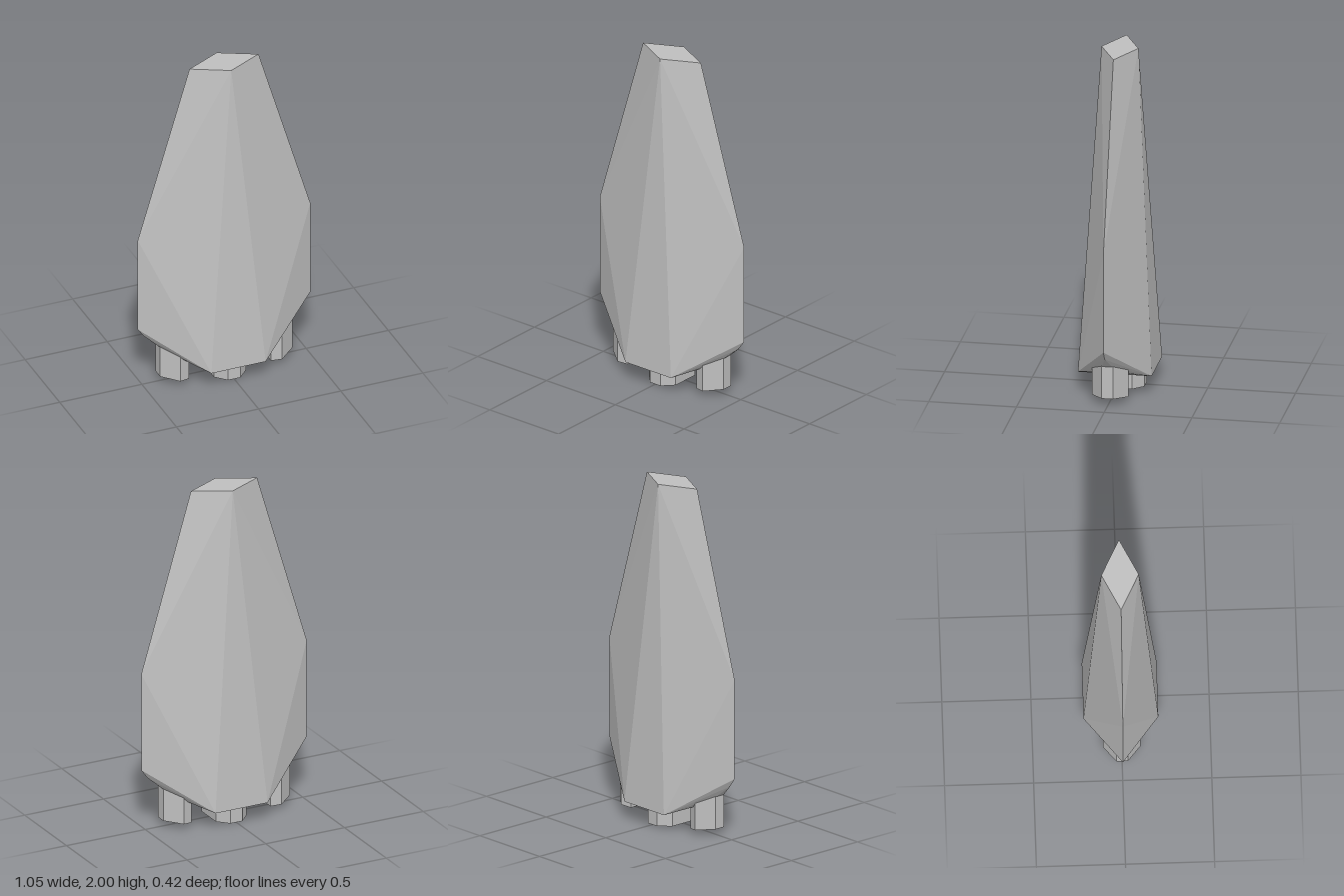
import * as THREE from 'three';
import { ConvexGeometry } from 'three/addons/geometries/ConvexGeometry.js';

const hullGrey = new THREE.MeshStandardMaterial({ color: 0xbfbfbf, flatShading: true });
hullGrey.name = 'hull grey';

// Mirror [x, y, z] corners across x and z, dropping duplicates
function mirrored(points, flipX = true) {
  const unique = new Map();
  for (const [x, y, z] of points)
    for (const sx of flipX ? [1, -1] : [1])
      for (const sz of [1, -1]) {
        const v = new THREE.Vector3(x * sx || 0, y, z * sz || 0);
        unique.set(v.toArray().join(), v);
      }
  return [...unique.values()];
}

function solid(name, points) {
  const mesh = new THREE.Mesh(new ConvexGeometry(points), hullGrey);
  mesh.name = name;
  return mesh;
}

// Faceted prism from an outline of [x, z] corners, with a sloping base
function nozzlePoints(outline, base, top) {
  return outline.flatMap(([x, z]) => [[x, base(x), z], [x, top(x), z]]);
}

export function createModel() {
  const model = new THREE.Group();
  model.name = 'hull';

  // Tapered faceted body with a rounded-off underside
  model.add(solid('body', mirrored([
    [0.21, 2, 0], [0, 2, 0.105],
    [0.525, 0.95, 0], [0.525, 0.365, 0],
    [0.165, 0.11, 0.21],
    [0.485, 0.31, 0], [0.4, 0.235, 0.03], [0.28, 0.16, 0.1],
  ])));

  // Centre nozzle: elongated octagon
  model.add(solid('centreNozzle', mirrored(
    nozzlePoints([[0.097, 0.085], [0.038, 0.147]], () => 0, () => 0.16))));

  // Side nozzles: tapered outward, base rising toward the outside
  const outline = [[0.25, 0.085], [0.31, 0.105], [0.402, 0.032]];
  const sidePoints = mirrored(nozzlePoints(
    outline, x => 0.025 + (x - 0.25) * 0.135, x => 0.18 + (x - 0.25) * 0.45), false);
  for (const [name, s] of [['leftNozzle', 1], ['rightNozzle', -1]])
    model.add(solid(name, sidePoints.map(p => new THREE.Vector3(p.x * s, p.y, p.z))));

  return model;
}
